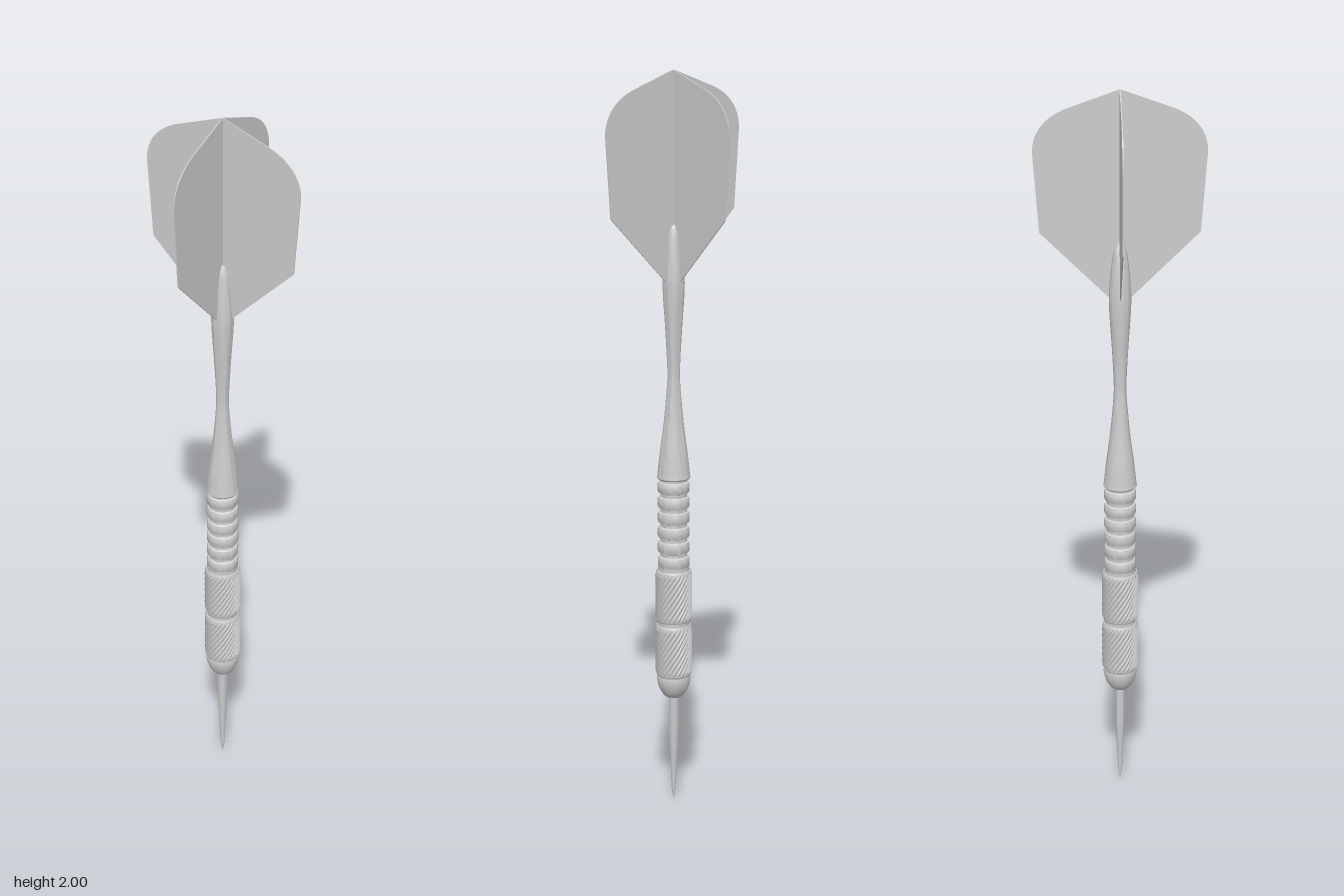
import * as THREE from 'three';
import { toCreasedNormals } from 'three/addons/utils/BufferGeometryUtils.js';

const grey = new THREE.MeshStandardMaterial({ color: 0xcccccc });
const faceted = new THREE.MeshStandardMaterial({ color: 0xcccccc, flatShading: true });
const sheet = new THREE.MeshStandardMaterial({ color: 0xcccccc, side: THREE.DoubleSide });

// Turned part from [radius, height] pairs, listed bottom to top
function turned(name, profile, crease = 0.6) {
  const points = profile.map(([r, y]) => new THREE.Vector2(r, y));
  const mesh = new THREE.Mesh(toCreasedNormals(new THREE.LatheGeometry(points, 48), crease), grey);
  mesh.name = name;
  return mesh;
}

// Sleeve whose alternate lattice points are raised into small diamonds
function knurledGrip(name, y0, y1, radius) {
  const sides = 48, rows = 14;
  const geometry = new THREE.CylinderGeometry(radius, radius, y1 - y0, sides, rows, true);
  const pos = geometry.attributes.position;
  for (let i = 0; i < pos.count; i++) {
    const column = i % (sides + 1), row = Math.floor(i / (sides + 1));
    const edge = row === 0 || row === rows;
    const k = edge || (column + row) % 2 ? 1 - 0.003 / radius : 1;
    pos.setX(i, pos.getX(i) * k);
    pos.setZ(i, pos.getZ(i) * k);
  }
  geometry.computeVertexNormals();
  const mesh = new THREE.Mesh(geometry, faceted);
  mesh.name = name;
  mesh.position.y = (y0 + y1) / 2;
  return mesh;
}

export function createModel() {
  const dart = new THREE.Group();
  dart.name = 'dart';

  // Steel point
  dart.add(turned('point', [
    [0, 0], [0.004, 0.02], [0.006, 0.045], [0.012, 0.18], [0.013, 0.2], [0.013, 0.31],
  ]));

  // Rounded nose and the smooth core beneath the grips
  dart.add(turned('nose', [
    [0, 0.303], [0.022, 0.303], [0.029, 0.309], [0.037, 0.322], [0.043, 0.338],
    [0.046, 0.355], [0.045, 0.362], [0, 0.362],
  ]));
  dart.add(turned('barrelCore', [
    [0.043, 0.355], [0.043, 0.505], [0.043, 0.52], [0.043, 0.675],
  ]));

  // Two knurled grips, closed by bevelled collars
  [[0.365, 0.51], [0.52, 0.665]].forEach(([a, b], i) => {
    dart.add(knurledGrip(i ? 'upperGrip' : 'lowerGrip', a + 0.004, b - 0.004, 0.05));
    for (const [y, dir] of [[a, 1], [b, -1]]) {
      const collar = [[0.042, y], [0.046, y], [0.048, y + dir * 0.005], [0.042, y + dir * 0.005]];
      dart.add(turned('gripCollar', dir > 0 ? collar : collar.reverse()));
    }
  });

  // Ringed section: repeated rounded ridges with grooves between
  const ridges = 6, start = 0.672, pitch = 0.0415;
  const rings = [[0.036, start - 0.004]];
  for (let i = 0; i < ridges; i++) {
    const y = start + i * pitch;
    rings.push([0.036, y], [0.041, y + 0.002], [0.043, y + 0.006],
      [0.043, y + 0.024], [0.041, y + 0.029], [0.036, y + 0.032], [0.036, y + pitch - 0.001]);
  }
  dart.add(turned('ringedBarrel', rings));

  // Waisted stem, swelling again where it holds the flight
  const stemCurve = new THREE.SplineCurve([
    [0.044, 0.928], [0.038, 0.985], [0.027, 1.07], [0.018, 1.17], [0.017, 1.22], [0.022, 1.32],
    [0.028, 1.41], [0.029, 1.46], [0.025, 1.52], [0.018, 1.575], [0.01, 1.598],
  ].map(([r, y]) => new THREE.Vector2(r, y)));
  dart.add(turned('stem', [
    [0, 0.918], [0.042, 0.918], [0.045, 0.922],
    ...stemCurve.getPoints(40).map((p) => [p.x, p.y]), [0, 1.602],
  ]));

  // Four thin fins set at right angles
  const outline = new THREE.Shape();
  outline.moveTo(0, 2);
  outline.lineTo(0.135, 1.952);
  outline.bezierCurveTo(0.185, 1.933, 0.222, 1.895, 0.222, 1.84);
  outline.lineTo(0.207, 1.63);
  outline.lineTo(0.03, 1.455);
  outline.lineTo(0, 1.455);
  const finGeometry = new THREE.ExtrudeGeometry(outline, { depth: 0.003, bevelEnabled: false, curveSegments: 12 });
  finGeometry.translate(0, 0, -0.0015);
  const flight = new THREE.Group();
  flight.name = 'flight';
  for (let i = 0; i < 4; i++) {
    const fin = new THREE.Mesh(finGeometry, sheet);
    fin.name = 'fin';
    fin.rotation.y = (i * Math.PI) / 2;
    flight.add(fin);
  }
  dart.add(flight);
  return dart;
}
